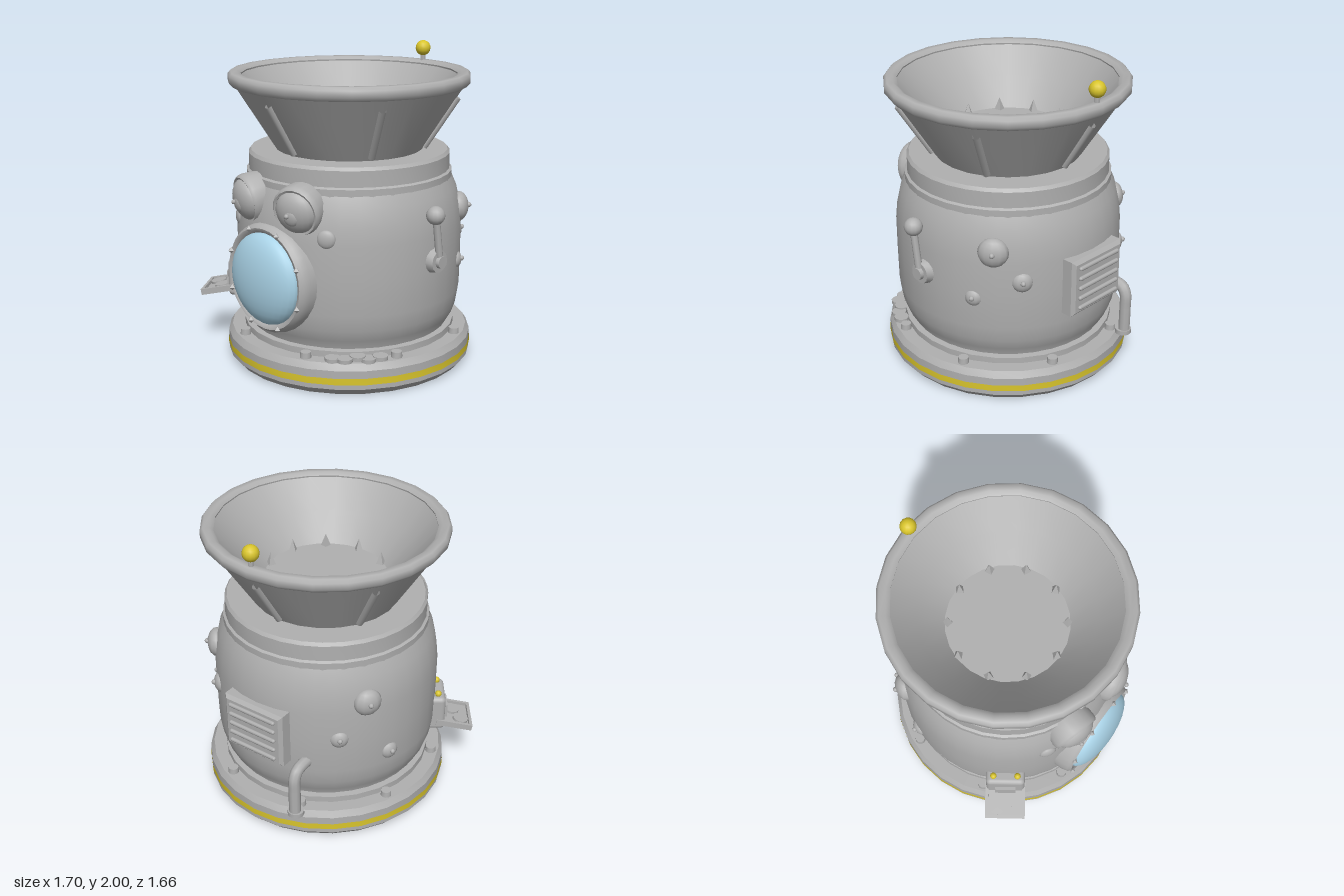
import * as THREE from 'three';
import { toCreasedNormals } from 'three/addons/utils/BufferGeometryUtils.js';
import { RoundedBoxGeometry } from 'three/addons/geometries/RoundedBoxGeometry.js';

const mat = (name, color, side = THREE.FrontSide) => {
  const m = new THREE.MeshStandardMaterial({ color, side });
  m.name = name;
  return m;
};

export function createModel() {
  const grey = mat('greyMetal', 0xb0b0b0, THREE.DoubleSide);
  const yellow = mat('yellowPaint', 0xd9c52c, THREE.DoubleSide);
  const blue = mat('blueGlass', 0xa9d2e6);

  const root = new THREE.Group();
  root.name = 'hopperMachine';
  const machine = new THREE.Group();
  machine.name = 'machine';
  machine.position.set(0.026, 0, -0.016);
  root.add(machine);

  const add = (parent, name, geo, material, x = 0, y = 0, z = 0) => {
    const m = new THREE.Mesh(geo, material);
    m.name = name;
    m.position.set(x, y, z);
    parent.add(m);
    return m;
  };
  const lathe = (pts, seg = 28, crease = 0.5) =>
    toCreasedNormals(new THREE.LatheGeometry(pts.map(p => new THREE.Vector2(p[0], p[1])), seg), crease);
  const cyl = (r0, r1, h, seg = 12) => toCreasedNormals(new THREE.CylinderGeometry(r0, r1, h, seg), 0.8);
  const ball = (r, w = 14, h = 10) => new THREE.SphereGeometry(r, w, h);
  const rod = (a, b, r) => new THREE.TubeGeometry(new THREE.LineCurve3(a, b), 1, r, 8, false);
  // group whose +z points outward at an angle around the machine
  const outward = (name, angle, x = 0, y = 0, z = 0) => {
    const g = new THREE.Group();
    g.name = name;
    g.rotation.order = 'YXZ';
    g.rotation.y = angle;
    g.position.set(x, y, z);
    machine.add(g);
    return g;
  };
  const deg = Math.PI / 180;

  // base, open underneath, with painted stripe
  add(machine, 'base', lathe([[0.76, 0], [0.8, 0.045], [0.8, 0.165], [0.775, 0.205], [0.66, 0.205]]), grey);
  add(machine, 'baseStripe', lathe([[0.803, 0.075], [0.803, 0.117]]), yellow);
  add(machine, 'bodyCollar', lathe([[0.69, 0.2], [0.69, 0.245], [0.64, 0.25]]), grey);

  // body
  add(machine, 'body', lathe([[0, 0.2], [0.645, 0.2], [0.65, 0.25], [0.685, 0.31], [0.708, 0.38], [0.724, 0.48],
    [0.727, 0.7], [0.727, 0.92], [0.715, 1.03], [0.69, 1.14], [0.66, 1.21]], 36), grey);
  add(machine, 'neck', lathe([[0.66, 1.2], [0.66, 1.25], [0.645, 1.26], [0.645, 1.36], [0.63, 1.38], [0.4, 1.38]], 32), grey);

  // hopper: outer cone, inner bowl, rim, ribs and teeth
  add(machine, 'hopper', lathe([[0.465, 1.37], [0.73, 1.79]], 24), grey);
  add(machine, 'hopperBowl', lathe([[0.695, 1.85], [0.54, 1.67], [0.385, 1.5]], 24), grey);
  add(machine, 'hopperFloor', lathe([[0.39, 1.5], [0, 1.5]], 24), grey);
  add(machine, 'hopperRim', lathe([[0.71, 1.785], [0.745, 1.785], [0.768, 1.81], [0.768, 1.85], [0.75, 1.87],
    [0.71, 1.87], [0.685, 1.85], [0.69, 1.82]], 24, 1.0), grey);
  for (let i = 0; i < 6; i++) {
    const rib = outward('hopperRib', i * 60 * deg);
    add(rib, 'rib', rod(new THREE.Vector3(0, 1.4, 0.485), new THREE.Vector3(0, 1.72, 0.69), 0.023), grey);
  }
  for (let i = 0; i < 10; i++) {
    const tooth = outward('hopperTooth', i * 36 * deg);
    const cone = new THREE.ConeGeometry(0.036, 0.09, 4).toNonIndexed();
    cone.computeVertexNormals();
    add(tooth, 'tooth', cone, grey, 0, 1.535, 0.366);
  }

  // antenna at the back of the rim
  add(machine, 'antennaStem', cyl(0.018, 0.018, 0.1), grey, 0, 1.89, -0.72);
  add(machine, 'antennaBall', ball(0.051), yellow, 0, 1.948, -0.72);

  // bolts and loose coins on the base ledge
  for (let i = 0; i < 8; i++)
    add(outward('baseBolt', (22.5 + 45 * i) * deg), 'bolt', cyl(0.033, 0.036, 0.045, 10), grey, 0, 0.22, 0.725);
  [[36, 0.73, 0.215], [42, 0.75, 0.22], [48, 0.72, 0.225], [53, 0.74, 0.215], [59, 0.73, 0.22]].forEach(([a, r, y]) =>
    add(outward('baseCoin', a * deg), 'coin', cyl(0.048, 0.048, 0.024, 12), grey, 0, y, r));

  // eyes and cheeks
  for (const s of [-1, 1]) {
    const eye = outward(s > 0 ? 'leftEye' : 'rightEye', s * 0.27, s * 0.21, 1.12, 0.645);
    eye.rotation.x = 0.18;
    add(eye, 'eyeHousing', lathe([[0.135, -0.14], [0.155, -0.05], [0.16, 0.02], [0.157, 0.045], [0.145, 0.06],
      [0.132, 0.055], [0.128, 0.03]], 20, 0.9).rotateX(Math.PI / 2), grey);
    add(eye, 'eyeball', ball(0.135, 20, 12), grey, 0, 0, 0.035).scale.z = 0.6;
    add(eye, 'pupil', ball(0.05), grey, 0, -0.015, 0.102).scale.z = 0.4;
    add(eye, 'pupilTip', ball(0.015, 8, 6), grey, -0.015, 0.005, 0.124);
    const cheek = outward('cheek', s * 33 * deg);
    add(cheek, 'cheekBump', ball(0.058), grey, 0, 0.96, 0.715).scale.z = 0.45;
  }

  // round front window
  const win = outward('window', 0, 0, 0.66, 0);
  add(win, 'windowRing', lathe([[0.345, 0.55], [0.35, 0.69], [0.34, 0.735], [0.32, 0.757], [0.3, 0.752],
    [0.284, 0.73], [0.28, 0.69]], 32, 0.9).rotateX(Math.PI / 2), grey);
  add(win, 'windowGlass', ball(0.29, 28, 16), blue, 0, 0, 0.735).scale.z = 0.39;
  for (let i = 0; i < 8; i++) {
    const a = (22.5 + 45 * i) * deg;
    add(win, 'windowRivet', new THREE.OctahedronGeometry(0.022), grey, 0.32 * Math.cos(a), 0.32 * Math.sin(a), 0.756);
  }

  // side lever
  const lever = outward('lever', Math.PI / 2, 0, 0.77, 0);
  add(lever, 'leverMount', cyl(0.07, 0.085, 0.06).rotateX(Math.PI / 2), grey, 0, 0, 0.735);
  add(lever, 'leverPivot', cyl(0.04, 0.042, 0.05).rotateX(Math.PI / 2), grey, 0, 0, 0.765);
  add(lever, 'leverArm', rod(new THREE.Vector3(0, 0, 0.765), new THREE.Vector3(-0.045, 0.3, 0.765), 0.023), grey);
  add(lever, 'leverKnob', ball(0.058), grey, -0.045, 0.3, 0.762);

  // domed bumps with small tips on both rear sides: angle, height, radius
  [[128, 1.0, 0.095], [142, 0.8, 0.066], [118, 0.68, 0.055],
    [236, 0.98, 0.09], [222, 0.73, 0.06], [249, 0.56, 0.06]].forEach(([a, y, r]) => {
    const bump = outward('sideBump', a * deg);
    add(bump, 'bumpDome', ball(r, 12, 10), grey, 0, y, 0.712).scale.z = 0.65;
    add(bump, 'bumpTip', ball(0.017, 8, 6), grey, 0, y + 0.01, 0.712 + r * 0.66);
  });

  // rear vent
  const vent = outward('rearVent', Math.PI, 0, 0.735, 0);
  const frame = new THREE.Shape([[-0.2, -0.165], [0.2, -0.165], [0.2, 0.165], [-0.2, 0.165]].map(p => new THREE.Vector2(...p)));
  add(vent, 'ventBox', new THREE.ExtrudeGeometry(frame, { depth: 0.11, bevelThickness: 0.02, bevelSize: 0.022, bevelSegments: 1 }),
    grey, 0, 0, 0.65);
  for (let i = 0; i < 5; i++)
    add(vent, 'ventBar', new THREE.CapsuleGeometry(0.014, 0.33, 4, 8).rotateZ(Math.PI / 2), grey, 0, -0.135 + 0.0675 * i, 0.785);

  // rear drain pipe
  const path = new THREE.CatmullRomCurve3([[0.2, -0.765], [0.4, -0.765], [0.49, -0.762], [0.535, -0.735], [0.55, -0.68], [0.55, -0.6]]
    .map(([y, z]) => new THREE.Vector3(-0.305, y, z)));
  add(machine, 'drainPipe', new THREE.TubeGeometry(path, 20, 0.038, 10), grey);
  add(machine, 'drainFlange', cyl(0.053, 0.053, 0.03), grey, -0.305, 0.22, -0.757);

  // coin dispenser with sloping tray
  const chute = outward('dispenser', -55 * deg);
  add(chute, 'dispenserBox', new RoundedBoxGeometry(0.26, 0.25, 0.13, 3, 0.03), grey, 0, 0.485, 0.73);
  add(chute, 'dispenserSlot', new THREE.BoxGeometry(0.14, 0.09, 0.03), grey, 0, 0.47, 0.8);
  for (const s of [-1, 1]) add(chute, 'dispenserLamp', ball(0.022, 10, 8), yellow, s * 0.08, 0.622, 0.745);
  const tray = new THREE.Group();
  tray.name = 'tray';
  tray.position.set(0, 0.39, 0.855);
  tray.rotation.x = 0.2;
  chute.add(tray);
  add(tray, 'trayFloor', new THREE.BoxGeometry(0.26, 0.02, 0.24), grey);
  for (const s of [-1, 1]) add(tray, 'traySide', new THREE.BoxGeometry(0.02, 0.04, 0.24), grey, s * 0.125, 0.01, 0);
  add(tray, 'trayLip', new THREE.BoxGeometry(0.27, 0.04, 0.02), grey, 0, 0.01, 0.115);
  add(tray, 'trayCoin', cyl(0.052, 0.052, 0.018, 14), grey, -0.053, 0.018, 0.05);
  add(tray, 'trayCoin', cyl(0.052, 0.052, 0.018, 14), grey, 0.042, 0.018, -0.005);

  return root;
}
